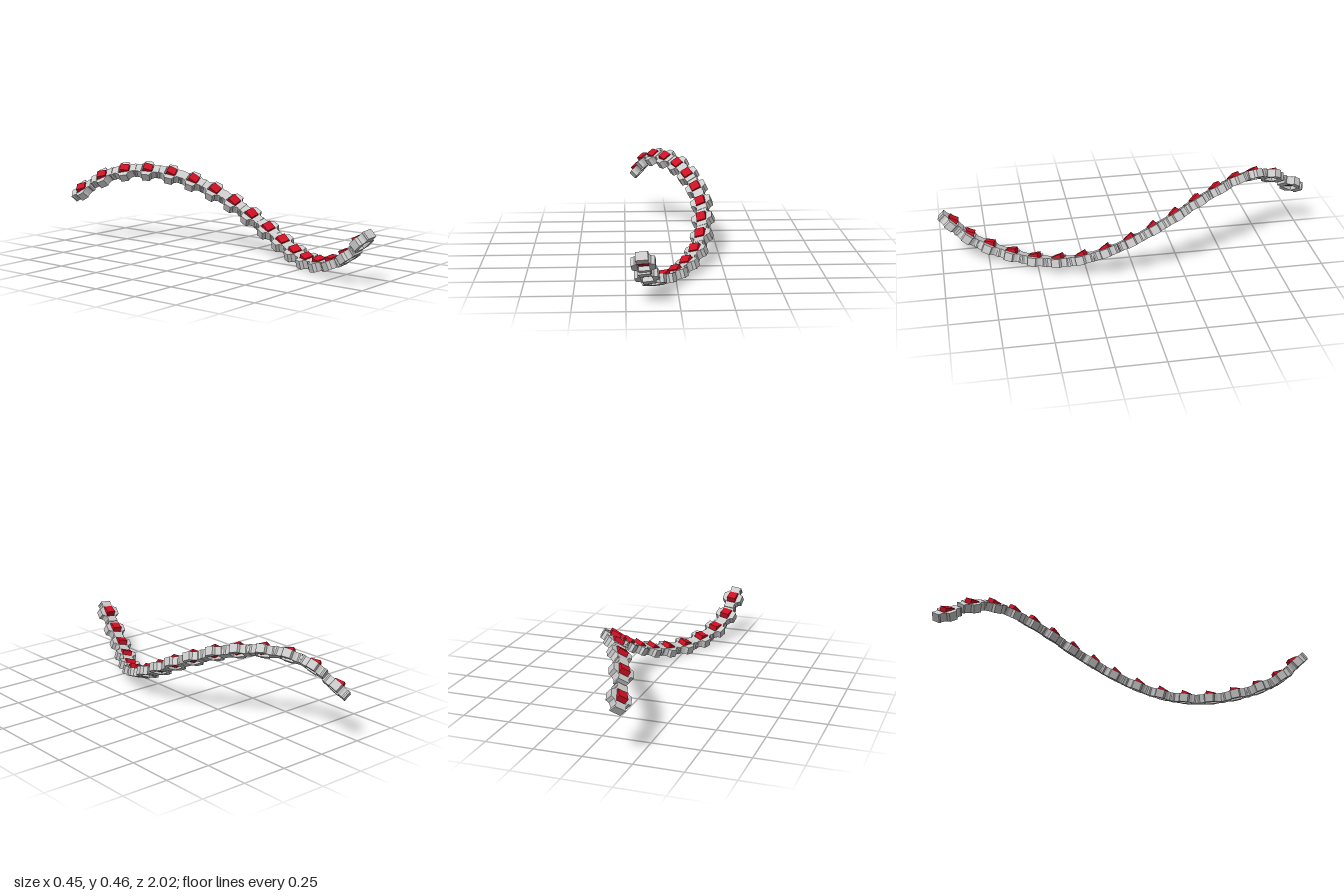
import * as THREE from 'three';

// Centres of the stud tops, from the front end of the chain to the back
const PATH = [
  [-0.17, 0.237, 0.912], [-0.154, 0.16, 0.83], [-0.12, 0.108, 0.73], [-0.07, 0.079, 0.62],
  [-0.01, 0.07, 0.505], [0.05, 0.083, 0.39], [0.10, 0.115, 0.275], [0.135, 0.163, 0.155],
  [0.15, 0.22, 0.03], [0.15, 0.28, -0.09], [0.13, 0.335, -0.21], [0.09, 0.385, -0.33],
  [0.04, 0.42, -0.45], [-0.025, 0.437, -0.57], [-0.09, 0.43, -0.69], [-0.148, 0.388, -0.815],
  [-0.185, 0.308, -0.943],
].map((p) => new THREE.Vector3(...p));

const THICK = 0.045;   // thickness of a link
const RISE = 0.012;    // how far a stud stands above its link
const STUD_TILT = 0.3; // studs lean up towards the back

// Cross-shaped plate with side lugs, waisted necks and a square window
function linkGeometry() {
  const quarter = [[0.056, 0.022], [0.039, 0.028], [0.029, 0.043], [0.027, 0.054], [0.031, 0.062], [0.029, 0.07]];
  const back = [...quarter].reverse();
  const outline = [
    ...quarter,
    ...back.map(([x, y]) => [-x, y]),
    ...quarter.map(([x, y]) => [-x, -y]),
    ...back.map(([x, y]) => [x, -y]),
  ].map(([x, y]) => new THREE.Vector2(x, y));
  const shape = new THREE.Shape(outline);
  const w = 0.027, l = 0.033;
  shape.holes.push(new THREE.Path([[-w, -l], [-w, l], [w, l], [w, -l]].map((p) => new THREE.Vector2(...p))));
  const geo = new THREE.ExtrudeGeometry(shape, { depth: THICK, bevelEnabled: false });
  return geo.rotateX(-Math.PI / 2).translate(0, -RISE - THICK, 0);
}

export function createModel() {
  const model = new THREE.Group();
  model.name = 'linkedChain';
  const grey = new THREE.MeshStandardMaterial({ color: 0xcccccc, flatShading: true });
  const red = new THREE.MeshStandardMaterial({ color: 0xd01024, flatShading: true });
  const linkGeo = linkGeometry();
  const studGeo = new THREE.BoxGeometry(0.05, THICK, 0.05)
    .rotateX(STUD_TILT).translate(0, -THICK / 2 + 0.002, 0);

  // Carry a frame along the path without twisting it
  const curve = new THREE.CatmullRomCurve3(PATH);
  const side = new THREE.Vector3(1, 0, 0);
  const turn = new THREE.Quaternion();
  let previous = null;
  PATH.forEach((point, i) => {
    const tangent = curve.getTangent(i / (PATH.length - 1));
    if (previous) side.applyQuaternion(turn.setFromUnitVectors(previous, tangent));
    side.addScaledVector(tangent, -side.dot(tangent)).normalize();
    previous = tangent;
    const forward = tangent.clone().negate();
    const up = new THREE.Vector3().crossVectors(forward, side);

    const link = new THREE.Group();
    link.name = `link${i + 1}`;
    const frame = new THREE.Mesh(linkGeo, grey);
    frame.name = 'linkFrame';
    const stud = new THREE.Mesh(studGeo, red);
    stud.name = 'stud';
    link.add(frame, stud);
    link.quaternion.setFromRotationMatrix(new THREE.Matrix4().makeBasis(side, up, forward));
    link.position.copy(point);
    model.add(link);
  });

  // Stand on the ground, centred
  const box = new THREE.Box3().setFromObject(model, true);
  const mid = box.getCenter(new THREE.Vector3());
  model.children.forEach((link) => link.position.sub(new THREE.Vector3(mid.x, box.min.y, mid.z)));
  return model;
}
